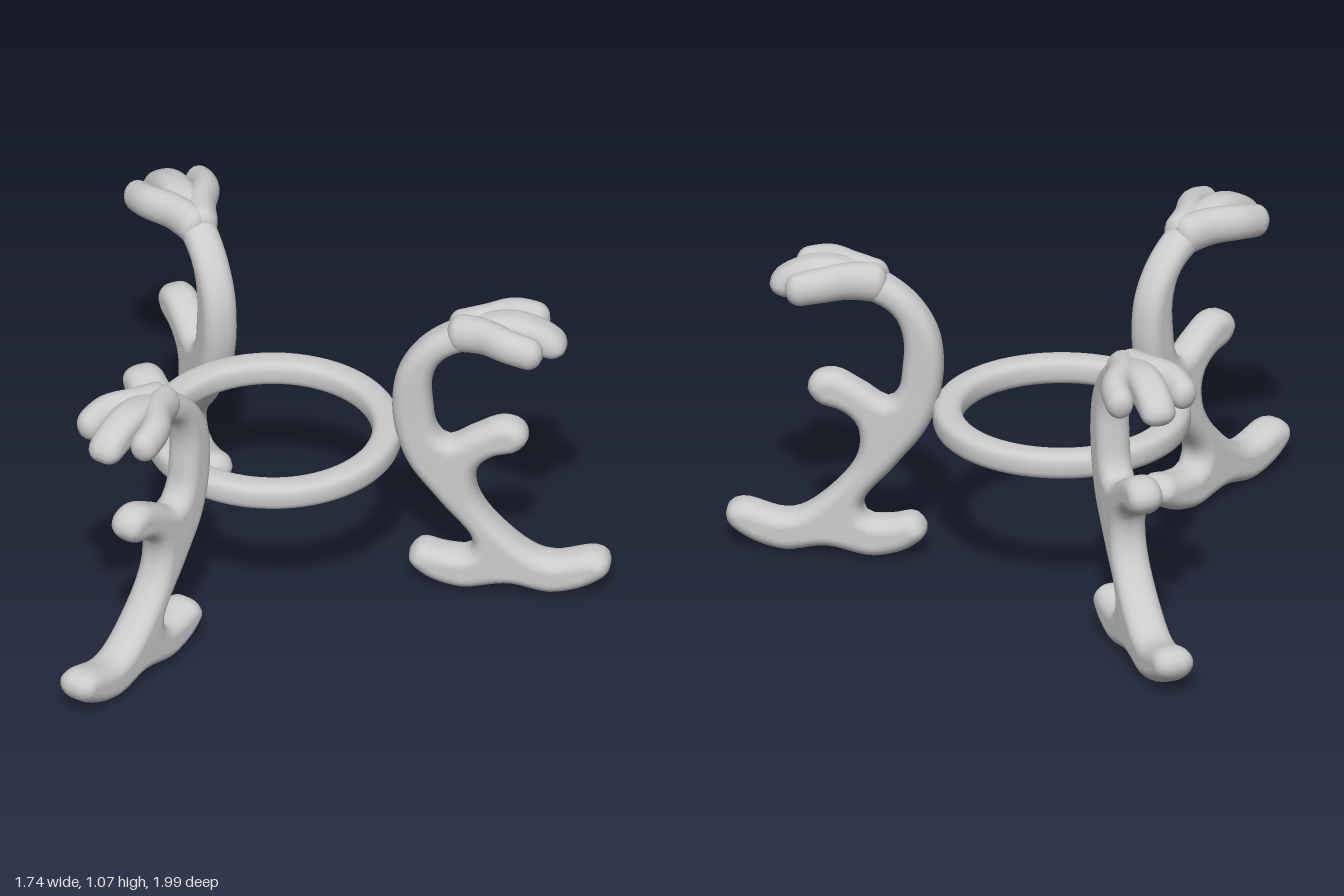
import * as THREE from 'three';
import { mergeVertices } from 'three/addons/utils/BufferGeometryUtils.js';

const CENTRE = 0.26;
const material = new THREE.MeshStandardMaterial({ color: 0xcccccc });

// Weld the vertices and give the surface smooth normals
function smooth(geometry) {
  geometry.deleteAttribute('uv');
  geometry.deleteAttribute('normal');
  const welded = mergeVertices(geometry, 1e-4);
  welded.computeVertexNormals();
  return welded;
}

// Side outline of a leg: arm, middle finger, knob and foot
const outline = [
  [-0.14, 0.72], [-0.16, 0.84], [-0.23, 0.95], [-0.34, 1.03], [-0.46, 1.07], [-0.56, 1.078],
  [-0.65, 1.05], [-0.715, 1.0], [-0.722, 0.955], [-0.68, 0.925], [-0.62, 0.94], [-0.55, 0.955],
  [-0.45, 0.945], [-0.36, 0.925], [-0.3, 0.88], [-0.272, 0.8], [-0.275, 0.7], [-0.288, 0.62],
  [-0.325, 0.577], [-0.41, 0.622], [-0.507, 0.666], [-0.575, 0.648], [-0.596, 0.6], [-0.56, 0.55],
  [-0.48, 0.525], [-0.43, 0.48], [-0.42, 0.4], [-0.46, 0.306], [-0.61, 0.16], [-0.68, 0.14],
  [-0.815, 0.168], [-0.863, 0.148], [-0.868, 0.1], [-0.81, 0.048], [-0.675, 0.007], [-0.53, 0.03],
  [-0.367, 0.007], [-0.24, 0.05], [-0.194, 0.105], [-0.235, 0.16], [-0.32, 0.145], [-0.395, 0.147],
  [-0.408, 0.195], [-0.297, 0.34], [-0.194, 0.48], [-0.152, 0.6],
];

function legGeometry() {
  const curve = new THREE.CatmullRomCurve3(
    outline.map(([x, y]) => new THREE.Vector3(x, y, 0)), true);
  const points = curve.getSpacedPoints(180).slice(0, -1);
  const shape = new THREE.Shape(points.map((p) => new THREE.Vector2(p.x, p.y)));
  const geometry = new THREE.ExtrudeGeometry(shape, {
    depth: 0.02, steps: 1, bevelEnabled: true, bevelThickness: 0.052,
    bevelSize: 0.045, bevelOffset: -0.045, bevelSegments: 7,
  });
  geometry.translate(0, 0, -0.01);
  // Slightly thicker at the foot than at the hand
  const pos = geometry.attributes.position;
  for (let i = 0; i < pos.count; i++) {
    pos.setZ(i, pos.getZ(i) * THREE.MathUtils.lerp(1.14, 0.95, Math.min(1, pos.getY(i) / 0.6)));
  }
  geometry.translate(-CENTRE, 0, 0);
  return smooth(geometry);
}

// Tapered finger with rounded ends, bent outwards to one side
function fingerGeometry(side) {
  const curve = new THREE.CatmullRomCurve3([
    [-0.33, 0.995, 0], [-0.45, 1.012, 0.045], [-0.54, 1.012, 0.1], [-0.655, 0.985, 0.115],
  ].map(([x, y, z]) => new THREE.Vector3(x - CENTRE, y, z * side)));
  const segments = 48, sides = 18, cap = 0.14;
  const geometry = new THREE.TubeGeometry(curve, segments, 1, sides);
  const pos = geometry.attributes.position;
  const v = new THREE.Vector3();
  for (let i = 0; i < pos.count; i++) {
    const t = Math.floor(i / (sides + 1)) / segments;
    const centre = curve.getPointAt(t);
    const end = Math.max(0, 1 - Math.min(t, 1 - t) / cap);
    const radius = THREE.MathUtils.lerp(0.058, 0.046, t) * Math.sqrt(1 - end * end);
    v.fromBufferAttribute(pos, i).sub(centre).multiplyScalar(radius);
    v.y *= 1.2;
    v.add(centre);
    pos.setXYZ(i, v.x, v.y, v.z);
  }
  return smooth(geometry);
}

// Ring with a rounded square cross-section
function ringGeometry() {
  const profile = [];
  for (let i = 0; i <= 24; i++) {
    const a = (i / 24) * Math.PI * 2;
    const soft = (n) => Math.sign(n) * Math.pow(Math.abs(n), 0.7);
    profile.push(new THREE.Vector2(0.38 + 0.05 * soft(Math.cos(a)), 0.557 + 0.047 * soft(Math.sin(a))));
  }
  return smooth(new THREE.LatheGeometry(profile, 72));
}

export function createModel() {
  const model = new THREE.Group();
  model.name = 'threeLeggedStand';
  const body = new THREE.Group();
  body.name = 'stand';
  body.position.x = CENTRE;
  model.add(body);

  const add = (parent, name, geometry) => {
    const mesh = new THREE.Mesh(geometry, material);
    mesh.name = name;
    parent.add(mesh);
  };

  add(body, 'ring', ringGeometry());

  // Three equal legs around the ring
  const leg = legGeometry();
  const fingers = [fingerGeometry(1), fingerGeometry(-1)];
  for (let i = 0; i < 3; i++) {
    const group = new THREE.Group();
    group.name = `leg${i + 1}`;
    group.rotation.y = (i * Math.PI * 2) / 3;
    add(group, 'legBody', leg);
    fingers.forEach((finger, k) => add(group, `sideFinger${k + 1}`, finger));
    body.add(group);
  }
  return model;
}
